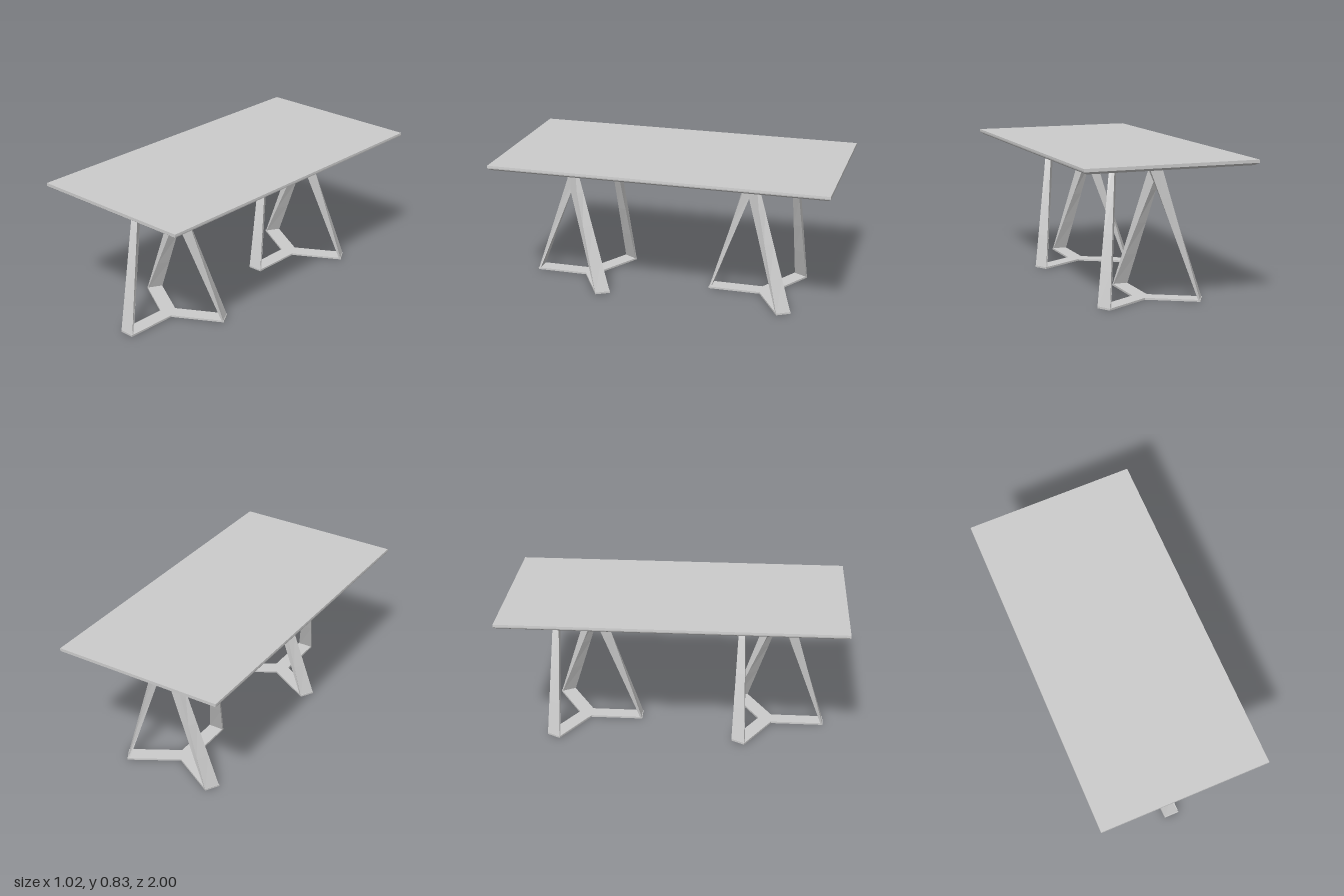
import * as THREE from 'three';

const material = new THREE.MeshStandardMaterial({ color: 0xcccccc, flatShading: true });

// Closed solid through rings of [x, y, z] points; rings run upward,
// points run counter-clockwise seen from above.
function loft(rings, name) {
  const pos = [];
  const tri = (a, b, c) => pos.push(...a, ...b, ...c);
  for (let i = 0; i < rings.length - 1; i++) {
    const lo = rings[i], hi = rings[i + 1], n = lo.length;
    for (let j = 0; j < n; j++) {
      const k = (j + 1) % n;
      tri(lo[j], lo[k], hi[k]);
      tri(lo[j], hi[k], hi[j]);
    }
  }
  const bottom = rings[0], top = rings[rings.length - 1];
  for (let j = 1; j < bottom.length - 1; j++) {
    tri(bottom[0], bottom[j + 1], bottom[j]);
    tri(top[0], top[j], top[j + 1]);
  }
  const geo = new THREE.BufferGeometry();
  geo.setAttribute('position', new THREE.Float32BufferAttribute(pos, 3));
  geo.computeVertexNormals();
  const mesh = new THREE.Mesh(geo, material);
  mesh.name = name;
  return mesh;
}

const rect = (x, z, y) => [[-x, y, z], [x, y, z], [x, y, -z], [-x, y, -z]];

const FOOT_R = 0.342, FOOT_W = 0.09, FOOT_T = 0.01;
const TOP_R = 0.163, TOP_W = 0.077, TOP_T = 0.028, TOP_Y = 0.797;

// Leg rising from a flat foot at +z, leaning and twisting to 60 degrees round the base
function makeLeg() {
  const w = FOOT_W / 2, inner = FOOT_R - FOOT_T;
  const foot = [[-w, 0, FOOT_R], [w, 0, FOOT_R], [w, 0, inner], [-w, 0, inner]];
  const a = -Math.PI / 3, s = Math.sin(a), c = Math.cos(a);
  const corner = (t, r) => {
    const rad = TOP_R + r * TOP_T / 2, tan = t * TOP_W / 2;
    return [s * rad + c * tan, TOP_Y, c * rad - s * tan];
  };
  const head = [corner(1, 1), corner(1, -1), corner(-1, -1), corner(-1, 1)];
  const rings = [0, 0.25, 0.5, 0.75, 1].map(f => foot.map((p, i) => p.map((v, k) => v + (head[i][k] - v) * f)));
  return loft(rings, 'leg');
}

// Flat three-armed floor plate
function makeFloorPlate() {
  const w = FOOT_W / 2, crotch = w / Math.sin(Math.PI / 3);
  const shape = new THREE.Shape();
  for (let i = 0; i < 3; i++) {
    const a = i * Math.PI * 2 / 3, s = Math.sin(a), c = Math.cos(a);
    const pt = (t, r) => [c * t - s * r, s * t + c * r];
    if (i === 0) shape.moveTo(...pt(w, FOOT_R)); else shape.lineTo(...pt(w, FOOT_R));
    shape.lineTo(...pt(-w, FOOT_R));
    const b = a + Math.PI / 3;
    shape.lineTo(-Math.sin(b) * crotch, Math.cos(b) * crotch);
  }
  const geo = new THREE.ExtrudeGeometry(shape, { depth: 0.011, bevelEnabled: false });
  geo.rotateX(Math.PI / 2).translate(0, 0.011, 0);
  const mesh = new THREE.Mesh(geo, material);
  mesh.name = 'floorPlate';
  return mesh;
}

function makeBase(name) {
  const base = new THREE.Group();
  base.name = name;
  base.add(makeFloorPlate());
  for (let i = 0; i < 3; i++) {
    const leg = makeLeg();
    leg.rotation.y = i * Math.PI * 2 / 3;
    base.add(leg);
  }
  return base;
}

export function createModel() {
  const table = new THREE.Group();
  table.name = 'table';

  // Slab with an undercut bevelled rim
  table.add(loft([
    rect(0.485, 0.98, 0.796),
    rect(0.507, 1, 0.81),
    rect(0.508, 1, 0.816),
    rect(0.507, 1, 0.828),
  ], 'tabletop'));

  // Two identical twisted tripod bases, both turned the same way
  for (const [name, z] of [['frontBase', 0.557], ['backBase', -0.553]]) {
    const base = makeBase(name);
    base.position.set(-0.003, 0, z);
    table.add(base);
  }
  return table;
}
